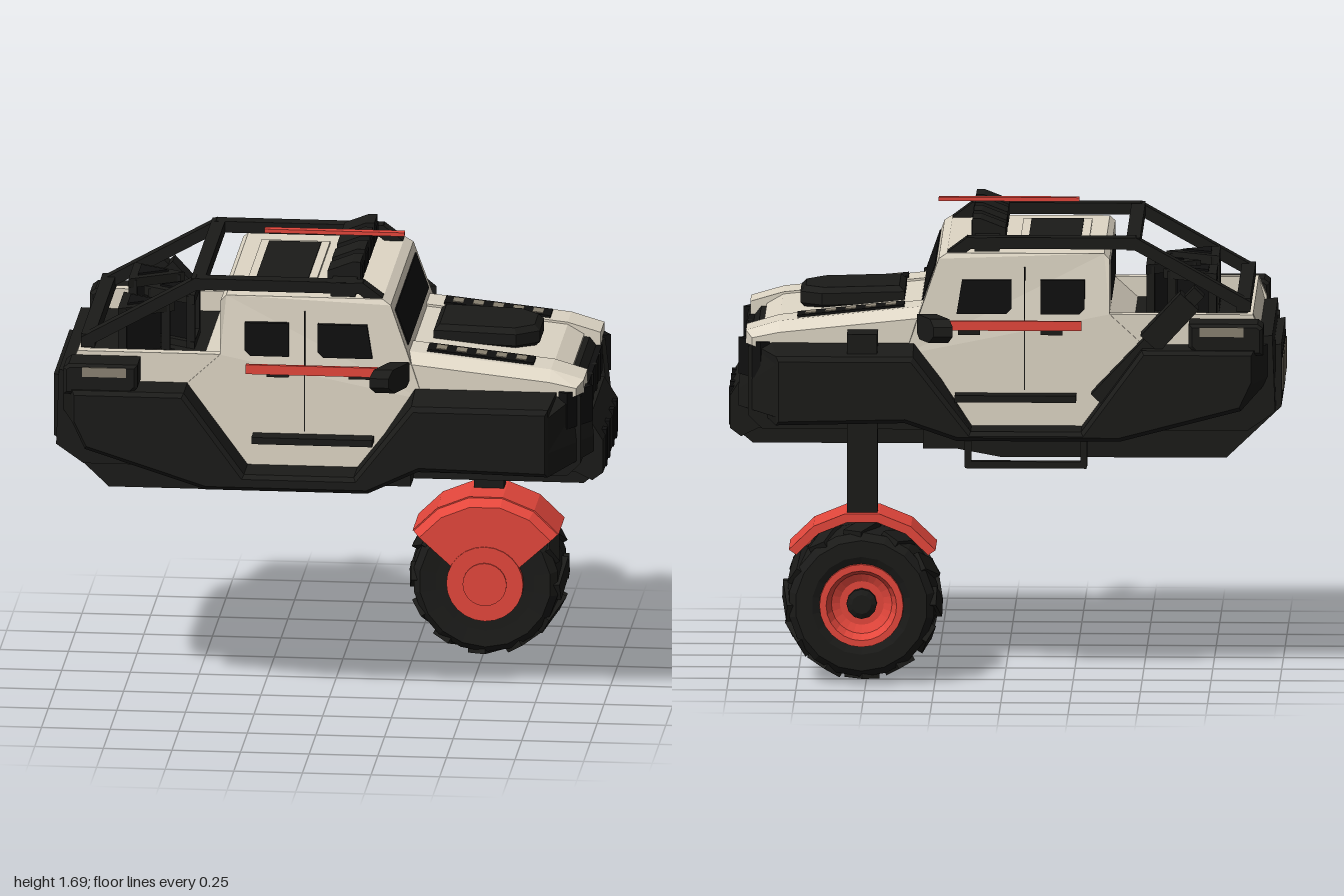
import * as THREE from 'three';

const DARK = 0x1b1b19, BLACK = 0x101010, SAND = 0xdfd7c6, RED = 0xe5473c, GLASS = 0x8a8272;
const mats = {};
const mat = c => (mats[c] ??= new THREE.MeshStandardMaterial({ color: c, flatShading: true }));

export function createModel() {
  const root = new THREE.Group();
  root.name = 'truck';

  const add = (name, color, geo, parent = root) => {
    const m = new THREE.Mesh(geo, mat(color));
    m.name = name;
    parent.add(m);
    return m;
  };
  // box given by its x, y and z ranges
  const box = (name, color, x0, x1, y0, y1, z0, z1, parent) => {
    const m = add(name, color, new THREE.BoxGeometry(x1 - x0, y1 - y0, z1 - z0), parent);
    m.position.set((x0 + x1) / 2, (y0 + y1) / 2, (z0 + z1) / 2);
    return m;
  };
  // side profile extruded from z0 to z1, with an optional chamfer and vertex rule
  const slab = (name, color, pts, z0, z1, { bevel = 0, rule, parent } = {}) => {
    const shape = new THREE.Shape(pts.map(p => new THREE.Vector2(...p)));
    const g = new THREE.ExtrudeGeometry(shape, {
      depth: z1 - z0 - 2 * bevel, bevelEnabled: bevel > 0, bevelSize: bevel,
      bevelThickness: bevel, bevelOffset: -bevel, bevelSegments: 1,
    });
    g.translate(0, 0, z0 + bevel);
    if (rule) {
      const p = g.attributes.position, v = new THREE.Vector3();
      for (let i = 0; i < p.count; i++) {
        rule(v.fromBufferAttribute(p, i));
        p.setXYZ(i, v.x, v.y, v.z);
      }
      g.computeVertexNormals();
    }
    return add(name, color, g, parent);
  };
  // bar between two points in the side plane
  const bar = (name, color, a, b, h, z0, z1) => {
    const len = Math.hypot(b[0] - a[0], b[1] - a[1]);
    const m = add(name, color, new THREE.BoxGeometry(len + h * 0.4, h, z1 - z0));
    m.position.set((a[0] + b[0]) / 2, (a[1] + b[1]) / 2, (z0 + z1) / 2);
    m.rotation.z = Math.atan2(b[1] - a[1], b[0] - a[0]);
  };
  // keeps vertices inside the plan outline with its cut corners
  const plan = v => {
    const z = Math.abs(v.z);
    const front = 0.97 - Math.max(0, z - 0.35) * 0.65, rear = -0.98 + Math.max(0, z - 0.43) * 0.53;
    v.x = Math.min(front, Math.max(rear, v.x));
  };

  // chassis, keel and front bumper
  slab('chassis', DARK, [[-0.97, 1.25], [-0.98, 0.97], [-0.88, 0.9], [0.88, 0.9], [0.97, 0.95],
    [0.97, 1.03], [0.935, 1.06], [0.935, 1.2], [0.9, 1.24], [-0.3, 1.24]], -0.41, 0.41, { rule: plan });
  slab('keel', DARK, [[-1, 1.2], [-1, 0.97], [-0.8, 0.78], [0.02, 0.78], [0.18, 0.81], [0.3, 0.81], [0.3, 0.95]], -0.29, 0.29);
  slab('frontBumper', DARK, [[0.3, 0.88], [0.9, 0.88], [0.96, 0.85], [1, 0.88], [1, 1], [0.95, 1.08], [0.3, 1.08]], -0.28, 0.28);
  slab('skidPlate', DARK, [[0.25, 0.81], [0.92, 0.81], [0.98, 0.86], [0.98, 0.92], [0.25, 0.92]], -0.18, 0.18);
  for (const z of [-0.19, -0.08, 0.07, 0.18]) box('bumperRib', BLACK, 0.97, 1.005, 0.88, 1.02, z - 0.02, z + 0.02);
  box('grille', BLACK, 0.92, 0.945, 1.11, 1.21, -0.25, 0.25);
  for (const z of [-0.13, 0, 0.13]) box('grilleBar', DARK, 0.93, 0.95, 1.11, 1.21, z - 0.012, z + 0.012);

  // rear panel with upright slots
  box('rearRecess', BLACK, -1.003, -0.98, 1, 1.16, -0.26, 0.26);
  for (let i = -5; i <= 5; i++) box('rearSlot', GLASS, -1.006, -0.99, 1.02, 1.14, i * 0.044 - 0.014, i * 0.044 + 0.014);

  // cabin, narrowing slightly to the roof
  slab('cabin', SAND, [[-0.5, 1.22], [-0.28, 0.9], [0.14, 0.9], [0.36, 1.18], [0.325, 1.29], [0.24, 1.53],
    [0.21, 1.55], [-0.36, 1.55], [-0.38, 1.53], [-0.38, 1.33]], -0.435, 0.435,
  { rule: v => { if (v.y > 1.5) v.z *= v.y > 1.545 ? 0.95 : 0.97; } });
  const shield = add('windshield', BLACK, new THREE.BoxGeometry(0.02, 0.14, 0.75));
  shield.position.set(0.269, 1.433, 0);
  shield.rotation.z = 0.34;
  box('rearWindow', BLACK, -0.385, -0.37, 1.36, 1.5, -0.3, 0.3);
  box('roofFrame', SAND, -0.3, -0.05, 1.545, 1.56, -0.29, 0.29);
  box('roofPanel', DARK, -0.27, -0.08, 1.55, 1.565, -0.26, 0.26);

  // hood: centre panel, raised sides with a sloping outer edge
  const hood = (lift, end, z0, z1, rule = plan) => slab('hood', SAND, [[0.3, 1.17], [0.3, 1.34 + lift], [0.82, 1.285 + lift],
    [end, 1.25 + lift], [end, 1.21], [0.8, 1.17]], z0, z1, { rule });
  hood(0, 0.88, -0.24, 0.24);
  const hoodEdge = v => {
    if (Math.abs(v.z) > 0.42 && v.y > 1.23) v.y -= v.x < 0.85 ? 0.035 : 0.02;
    plan(v);
  };
  slab('hoodScoop', DARK, [[0.37, -0.15], [0.67, -0.15], [0.75, -0.08], [0.75, 0.08], [0.67, 0.15], [0.37, 0.15]], 1.3, 1.382,
    { bevel: 0.02, rule: v => v.set(v.x, v.z - 0.03 * (v.x - 0.37), -v.y) });

  // cargo bed
  box('bedFloor', DARK, -0.9, -0.36, 1.2, 1.255, -0.41, 0.41);
  slab('tailgate', SAND, [[-0.93, 1.22], [-0.9, 1.33], [-0.88, 1.33], [-0.88, 1.22]], -0.41, 0.41);
  box('bedRail', DARK, -0.89, -0.84, 1.335, 1.385, -0.4, 0.4);
  box('rollBarCross', DARK, -0.49, -0.44, 1.56, 1.605, -0.4, 0.4);
  for (const [x, z, turn] of [[-0.7, -0.19, 0], [-0.7, 0.2, 0], [-0.57, 0, Math.PI]]) {
    const cargo = new THREE.Group();
    cargo.name = 'cargoCanister';
    for (const [r, y, h, c] of [[0.13, 1.26, 0.04, DARK], [0.08, 1.35, 0.2, BLACK], [0.13, 1.44, 0.035, DARK], [0.07, 1.455, 0.02, BLACK]])
      add('canisterPart', c, new THREE.CylinderGeometry(r, r, h, 3), cargo).position.y = y;
    for (let i = 0; i < 3; i++) {
      const a = i * Math.PI * 2 / 3;
      add('canisterPost', DARK, new THREE.BoxGeometry(0.03, 0.2, 0.03), cargo)
        .position.set(Math.sin(a) * 0.1, 1.35, Math.cos(a) * 0.1);
    }
    cargo.position.set(x, 0, z);
    cargo.rotation.y = Math.PI / 2 + turn;
    root.add(cargo);
  }

  // parts on both sides
  for (const s of [1, -1]) {
    const range = (a, b) => (s > 0 ? [a, b] : [-b, -a]);
    const sideBox = (name, color, x0, x1, y0, y1, a, b) => box(name, color, x0, x1, y0, y1, ...range(a, b));

    // fenders joined by the sill, rising towards both ends
    const sill = s > 0 ? 0.86 : 0.885;
    slab('sideFender', DARK, [[-1, 1.22], [-0.5, 1.22], [-0.28, 0.92], [0.12, 0.92], [0.33, 1.19], [0.86, 1.19],
      [0.95, 1.16], [0.97, 1.03], [0.97, 0.97], [0.88, 0.94], [0.36, 0.95], [0.17, sill], [-0.42, sill],
      [-0.86, 1], [-1, 1.1]], ...range(0.3, 0.585),
    { bevel: 0.015, rule: v => { if (v.x > 0.3 && v.y > 1.13) v.y += (0.585 - Math.abs(v.z)) * 0.2; plan(v); } });
    hood(0.008, 0.94, ...range(0.24, 0.38));
    hood(0.008, 0.94, ...range(0.38, 0.432), hoodEdge);
    slab('bedSide', SAND, [[-0.93, 1.2], [-0.93, 1.26], [-0.9, 1.33], [-0.36, 1.33], [-0.36, 1.2]], ...range(0.39, 0.43));

    // headlight on the cut corner, and hood vents
    const lamp = sideBox('headlight', BLACK, 0.89, 0.93, 1.09, 1.225, 0.31, 0.46);
    lamp.rotation.y = -s * 0.58;
    const vent = new THREE.Group();
    vent.name = 'hoodVent';
    box('ventStrip', BLACK, -0.195, 0.195, -0.01, 0.01, -0.045, 0.045, vent);
    for (let i = -2; i <= 2; i++) box('ventSlot', GLASS, i * 0.073 - 0.02, i * 0.073 + 0.02, 0, 0.013, -0.028, 0.028, vent);
    vent.position.set(0.56, 1.319, s * 0.31);
    vent.rotation.z = -0.105;
    root.add(vent);

    // doors
    sideBox('doorSeam', DARK, -0.074, -0.07, 1.05, 1.5, 0.42, 0.436);
    for (const [a, b] of [[-0.29, -0.13], [-0.025, 0.175]])
      slab('sideWindow', BLACK, [[a, 1.35], [a + 0.02, 1.33], [b, 1.33], [b - (a > -0.1 ? 0.02 : 0), 1.455], [a, 1.455]], ...range(0.41, 0.439));
    for (const x of [-0.17, 0.13]) sideBox('doorHandle', DARK, x - 0.04, x + 0.04, 1.255, 1.28, 0.42, 0.45);
    sideBox('doorStripe', RED, -0.28, 0.2, 1.28, 1.315, 0.49, 0.505);
    sideBox('doorStep', DARK, -0.26, 0.18, 1.015, 1.04, 0.43, 0.5);

    // mirror
    sideBox('mirrorArm', DARK, 0.23, 0.29, 1.27, 1.31, 0.42, 0.54);
    const mirror = slab('mirror', DARK, [[0.5, 1.27], [0.52, 1.25], [0.6, 1.25], [0.64, 1.28], [0.64, 1.315], [0.61, 1.34], [0.5, 1.34]], -0.035, 0.035,
      { rule: v => { v.z += s * (v.x - 0.57) * 0.45; } });
    mirror.rotation.y = -s * Math.PI / 2;
    mirror.position.x = 0.25;
    // rear lamp pod
    slab('rearLampPod', DARK, [[-0.94, 1.2], [-0.94, 1.3], [-0.92, 1.315], [-0.67, 1.315], [-0.67, 1.23], [-0.7, 1.2]], ...range(0.42, 0.56), { bevel: 0.012 });
    sideBox('rearLamp', GLASS, -0.87, -0.71, 1.27, 1.305, 0.46, 0.564);

    // roll bar
    const path = [[-0.87, 1.36], [-0.47, 1.585], [0.13, 1.585], [0.19, 1.54]];
    for (let i = 0; i < 3; i++) bar('rollBar', DARK, path[i], path[i + 1], 0.042, ...range(0.35, 0.405));
  }

  // roof lamps and floating beacon rod
  box('lampRail', DARK, 0.02, 0.11, 1.555, 1.605, -0.41, 0.41);
  for (const z of [-0.255, -0.085, 0.09, 0.26]) {
    slab('roofLamp', DARK, [[0, 1.57], [0, 1.625], [0.09, 1.66], [0.12, 1.66], [0.12, 1.57]], z - 0.06, z + 0.06);
    box('roofLampLens', BLACK, 0.11, 0.125, 1.585, 1.64, z - 0.04, z + 0.04);
  }
  box('beaconRod', RED, -0.26, 0.25, 1.673, 1.687, -0.015, 0.015);

  // tool stowed behind the right door, rising to the rear
  bar('stowedTool', DARK, [-0.34, 1.04], [-0.7, 1.42], 0.05, -0.52, -0.45);
  bar('toolHead', DARK, [-0.54, 1.25], [-0.66, 1.38], 0.09, -0.53, -0.44);
  bar('toolGrip', DARK, [-0.42, 1.13], [-0.47, 1.08], 0.03, -0.5, -0.46);

  // hanging step on the right side
  box('hangingStep', DARK, -0.3, 0.14, 0.785, 0.81, -0.57, -0.54);
  for (const x of [-0.29, 0.13]) box('stepHanger', DARK, x - 0.012, x + 0.012, 0.79, 0.9, -0.57, -0.54);

  // leg
  box('leg', DARK, 0.46, 0.57, 0.57, 1, -0.49, -0.42);
  box('legCap', DARK, 0.46, 0.57, 1.15, 1.27, -0.54, -0.43);

  // wheel
  const wheel = new THREE.Group();
  wheel.name = 'wheel';
  wheel.position.set(0.515, 0.288, -0.455);
  root.add(wheel);
  const lathe = (name, color, pts, sides) => {
    const m = add(name, color, new THREE.LatheGeometry(pts.map(p => new THREE.Vector2(...p)), sides), wheel);
    m.rotation.x = -Math.PI / 2;
  };
  lathe('tire', DARK, [[0, -0.165], [0.18, -0.17], [0.24, -0.178], [0.266, -0.15], [0.277, 0], [0.266, 0.15],
    [0.24, 0.178], [0.18, 0.178], [0.15, 0.165], [0.145, 0.09], [0, 0.09]], 18);
  lathe('rim', RED, [[0.155, 0.15], [0.152, 0.178], [0.128, 0.178], [0.11, 0.13], [0.08, 0.115], [0, 0.115]], 24);
  lathe('hubCap', DARK, [[0.055, 0.1], [0.055, 0.14], [0.035, 0.15], [0, 0.15]], 12);
  for (let i = 0; i < 12; i++) {
    const row = new THREE.Group();
    row.name = 'treadRow';
    row.rotation.z = i / 12 * Math.PI * 2;
    for (const s of [1, -1]) {
      const lug = add('treadLug', DARK, new THREE.BoxGeometry(0.07, 0.03, 0.165), row);
      lug.position.set(0, 0.266, s * 0.078);
      lug.rotation.set(s * 0.12, s * 0.42, 0);
    }
    wheel.add(row);
  }

  // red wheel cover
  const arc = (r, a, b, n) => Array.from({ length: n + 1 }, (_, i) => {
    const t = (a + (b - a) * i / n) * Math.PI / 180;
    return [Math.cos(t) * r, Math.sin(t) * r];
  });
  const chamfer = v => { if (v.z > 0.18 && Math.hypot(v.x, v.y) > 0.25) { v.x *= 0.9; v.y *= 0.9; } };
  slab('wheelCoverTop', RED, [...arc(0.325, 35, 145, 5), ...arc(0.292, 145, 35, 5)], -0.065, 0.155, { parent: wheel });
  slab('wheelCoverSide', RED, [...arc(0.325, 35, 145, 5), ...arc(0.14, 153, 27, 5)], 0.15, 0.185, { parent: wheel, rule: chamfer });
  const disc = (name, r, z0, z1) => {
    const m = add(name, RED, new THREE.CylinderGeometry(r, r, z1 - z0, 24), wheel);
    m.rotation.x = Math.PI / 2;
    m.position.z = (z0 + z1) / 2;
  };
  disc('wheelDisc', 0.14, 0.15, 0.19);
  disc('wheelDiscBoss', 0.08, 0.18, 0.197);

  return root;
}
